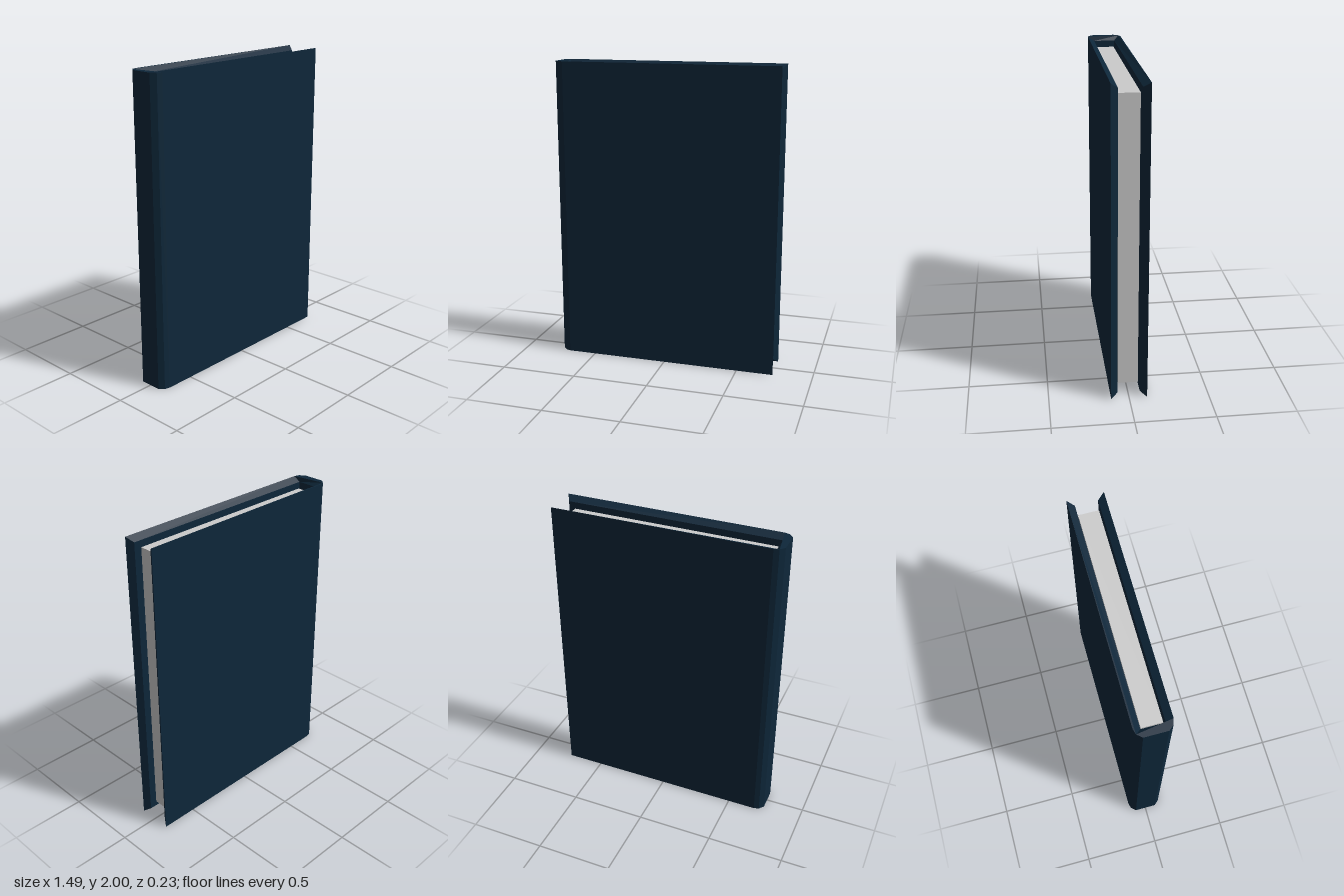
import * as THREE from 'three';

const HEIGHT = 2, EDGE_INSET = 0.03, INNER_Z = 0.07;

export function createModel() {
  const book = new THREE.Group();
  book.name = 'book';

  // Cover: U-shaped section with a chamfered spine, as [x, z] for one half
  const half = [
    [-0.745, 0.072], [-0.718, 0.103], [-0.685, 0.113], // spine corner
    [0.743, 0.113], [0.715, INNER_Z],                  // bevelled fore edge
    [-0.688, INNER_Z],                                 // inside of the spine
  ];
  const section = [...half, ...half.map(([x, z]) => [x, -z]).reverse()];
  const shape = new THREE.Shape(section.map(([x, z]) => new THREE.Vector2(x, z)));
  const coverGeometry = new THREE.ExtrudeGeometry(shape, { depth: HEIGHT, bevelEnabled: false });
  coverGeometry.rotateX(-Math.PI / 2);

  // Pull the inner faces in at top and bottom so the cover edges are bevelled
  const pos = coverGeometry.attributes.position;
  for (let i = 0; i < pos.count; i++) {
    const inner = pos.getX(i) > -0.7 && Math.abs(pos.getZ(i)) < INNER_Z + 0.001;
    if (inner) pos.setY(i, pos.getY(i) > 1 ? HEIGHT - EDGE_INSET : EDGE_INSET);
  }
  coverGeometry.computeVertexNormals();
  const cover = new THREE.Mesh(
    coverGeometry,
    new THREE.MeshStandardMaterial({ color: 0x0e273a, flatShading: true })
  );
  cover.name = 'cover';

  // Page block, floating just inside the cover
  const pages = new THREE.Mesh(
    new THREE.BoxGeometry(1.345, 1.86, 0.126),
    new THREE.MeshStandardMaterial({ color: 0xcccccc })
  );
  pages.name = 'pages';
  pages.position.y = HEIGHT / 2;

  book.add(cover, pages);
  return book;
}
